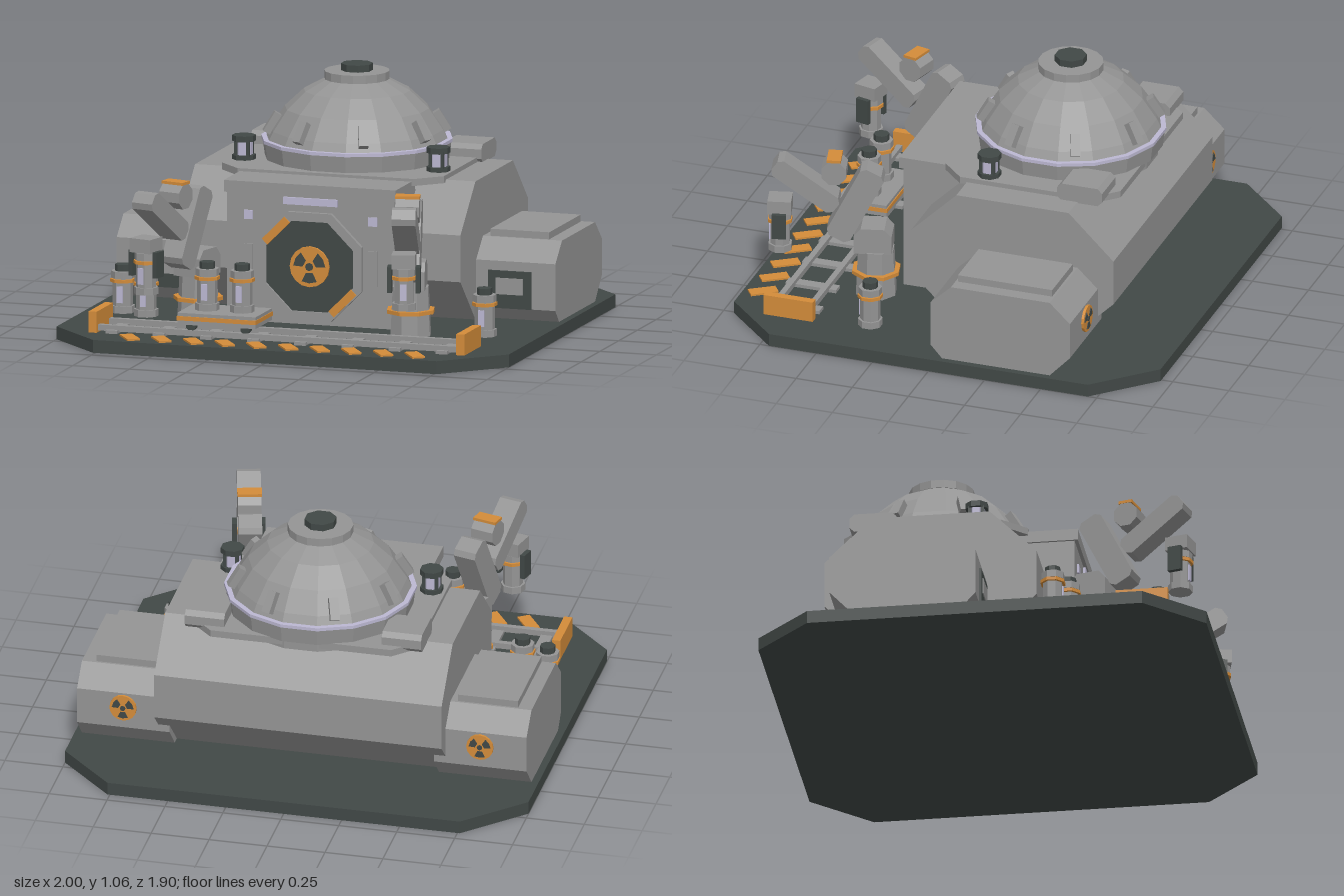
import * as THREE from 'three';

const mat = (name, color) => {
  const m = new THREE.MeshStandardMaterial({ color, flatShading: true });
  m.name = name;
  return m;
};

export function createModel() {
  const grey = mat('concrete grey', 0x949494);
  const dark = mat('dark slate', 0x414846);
  const orange = mat('safety orange', 0xd38c3a);
  const pale = mat('pale lavender', 0xbcb8d2);
  const root = new THREE.Group();

  const add = (parent, name, geo, m, x = 0, y = 0, z = 0) => {
    const mesh = new THREE.Mesh(geo, m);
    mesh.name = name;
    mesh.position.set(x, y, z);
    parent.add(mesh);
    return mesh;
  };
  const group = (parent, name, x = 0, y = 0, z = 0) => {
    const g = new THREE.Group();
    g.name = name;
    g.position.set(x, y, z);
    parent.add(g);
    return g;
  };
  const box = (w, h, d) => new THREE.BoxGeometry(w, h, d);
  // Upright prism with eight sides, flats facing the axes
  const cyl = (rt, rb, h, n = 8) => new THREE.CylinderGeometry(rt, rb, h, n).rotateY(Math.PI / n);
  const poly = pts => new THREE.Shape(pts.map(p => new THREE.Vector2(...p)));
  const extrude = (shape, depth) => new THREE.ExtrudeGeometry(shape, { depth, bevelEnabled: false, curveSegments: 6 });
  // Rectangle with cut corners
  const cut = (w, h, cx, cy = cx) => poly([
    [-w / 2 + cx, -h / 2], [w / 2 - cx, -h / 2], [w / 2, -h / 2 + cy], [w / 2, h / 2 - cy],
    [w / 2 - cx, h / 2], [-w / 2 + cx, h / 2], [-w / 2, h / 2 - cy], [-w / 2, -h / 2 + cy]]);
  const slab = (w, d, h, c) => extrude(cut(w, d, c), h).rotateX(-Math.PI / 2);
  // Outline given as [z, y], swept along x and centred
  const alongX = (pts, w) => extrude(poly(pts.map(([z, y]) => [-z, y])), w)
    .rotateY(Math.PI / 2).translate(-w / 2, 0, 0);

  add(root, 'base platform', slab(2, 1.9, 0.055, 0.24), dark);

  // Main hall and roof
  add(root, 'main hall', alongX([[0.21, 0.25], [0.21, 0.45], [0.01, 0.645], [-0.49, 0.645],
    [-0.69, 0.45], [-0.69, 0.25], [-0.49, 0.055], [0.01, 0.055]], 1.24), grey);
  add(root, 'roof plate', slab(0.98, 0.78, 0.03, 0.1), grey, 0, 0.635, -0.25);

  // Entrance block
  const entrance = group(root, 'entrance');
  add(entrance, 'entrance block', box(0.74, 0.55, 0.33), grey, 0, 0.33, 0.17);
  add(entrance, 'entrance roof', box(0.76, 0.05, 0.26), grey, 0, 0.628, 0.22);
  const frame = cut(0.46, 0.46, 0.135);
  frame.holes.push(new THREE.Path(cut(0.385, 0.385, 0.113).getPoints().reverse()));
  add(entrance, 'door frame', extrude(frame, 0.025), grey, 0, 0.305, 0.33);
  add(entrance, 'door', extrude(cut(0.39, 0.39, 0.114), 0.015), dark, 0, 0.305, 0.33);
  [1, -1].forEach(s => {
    const stripe = add(entrance, 'door frame stripe', box(0.14, 0.034, 0.008), orange, -s * 0.147, 0.305 + s * 0.147, 0.357);
    stripe.rotation.z = Math.PI / 4;
    add(entrance, 'small lamp', box(0.038, 0.038, 0.01), pale, s * 0.275, 0.51, 0.338);
    add(entrance, 'wall panel', box(0.04, 0.15, 0.01), grey, s * 0.275, 0.31, 0.338);
  });
  add(entrance, 'door lamp', box(0.24, 0.03, 0.012), pale, 0, 0.58, 0.34);

  // Round emblem with three dark vanes around a hub
  function fan(parent, x, y, z, r, back) {
    const g = group(parent, 'fan', x, y, z);
    if (back) g.rotation.y = Math.PI;
    const facing = (rad, d, n) => new THREE.CylinderGeometry(rad, rad, d, n).rotateX(Math.PI / 2);
    add(g, 'fan disc', facing(r, 0.012, 16), orange);
    add(g, 'fan hub', facing(r * 0.2, 0.006, 8), dark, 0, 0, 0.007);
    for (let i = 0; i < 3; i++) {
      const vane = extrude(poly([[0.3 * r, -0.17 * r], [0.72 * r, -0.38 * r], [0.8 * r, 0], [0.72 * r, 0.38 * r], [0.3 * r, 0.17 * r]]), 0.004);
      add(g, 'fan vane', vane, dark, 0, 0, 0.005).rotation.z = Math.PI / 6 + i * Math.PI * 2 / 3;
    }
  }
  fan(entrance, 0, 0.305, 0.35, 0.087);

  // Side wings, roof vents and roof lamps
  for (const s of [-1, 1]) {
    const wing = group(root, 'side wing', s * 0.77);
    add(wing, 'wing body', alongX([[0, 0.11], [0, 0.31], [-0.09, 0.395], [-0.53, 0.395],
      [-0.62, 0.31], [-0.62, 0.15], [-0.53, 0.055], [-0.05, 0.055]], 0.4), grey);
    add(wing, 'wing cap', box(0.26, 0.05, 0.42), grey, 0.01 * s, 0.4, -0.31);
    add(wing, 'wing hatch', box(0.19, 0.16, 0.014), dark, 0, 0.19, 0.003);
    add(wing, 'wing hatch window', box(0.12, 0.07, 0.006), grey, 0, 0.205, 0.011);
    fan(wing, 0, 0.245, -0.625, 0.058, true);

    add(root, 'roof vent', extrude(cut(0.2, 0.08, 0.02), 0.17).rotateY(Math.PI / 2), grey, s * 0.425 - 0.085, 0.68, -0.5);
    const lamp = group(root, 'roof lamp', s * 0.43, 0.655, -0.07);
    add(lamp, 'lamp foot', cyl(0.05, 0.05, 0.03), dark, 0, 0.015);
    add(lamp, 'lamp glass', cyl(0.037, 0.037, 0.07), pale, 0, 0.06);
    for (let i = 0; i < 4; i++) {
      const a = Math.PI / 4 + i * Math.PI / 2;
      add(lamp, 'lamp bar', box(0.014, 0.07, 0.014), dark, 0.038 * Math.cos(a), 0.06, 0.038 * Math.sin(a));
    }
    add(lamp, 'lamp cap', cyl(0.05, 0.05, 0.025), dark, 0, 0.1);
  }

  // Dome
  const dome = group(root, 'dome', 0, 0, -0.28);
  add(dome, 'dome footing', cyl(0.37, 0.37, 0.06, 16), grey, 0, 0.65);
  add(dome, 'dome drum', cyl(0.4, 0.39, 0.075, 16), grey, 0, 0.7);
  add(dome, 'dome light ring', cyl(0.405, 0.405, 0.014, 16), pale, 0, 0.742);
  const profile = [[0.385, 0.745], [0.365, 0.785], [0.305, 0.875], [0.225, 0.95], [0.13, 1.0], [0, 1.01]];
  add(dome, 'dome shell', new THREE.LatheGeometry(profile.map(p => new THREE.Vector2(...p)), 16).rotateY(Math.PI / 16), grey);
  add(dome, 'dome crown', cyl(0.138, 0.138, 0.035, 16), grey, 0, 1.015);
  add(dome, 'dome cap', cyl(0.068, 0.068, 0.032), dark, 0, 1.046);
  for (let i = 0; i < 8; i++) {
    const spoke = group(dome, 'dome bracket');
    spoke.rotation.y = Math.PI / 8 + i * Math.PI / 4;
    add(spoke, 'bracket', box(0.04, 0.095, 0.045), grey, 0, 0.81, 0.352).rotation.x = -0.55;
  }

  // Fuel canister standing on its own origin
  function canister(parent, x, y, z) {
    const g = group(parent, 'canister', x, y, z);
    add(g, 'canister body', cyl(0.043, 0.043, 0.17), grey, 0, 0.085);
    add(g, 'canister foot', cyl(0.052, 0.052, 0.03), grey, 0, 0.015);
    add(g, 'canister band', cyl(0.054, 0.054, 0.014), orange, 0, 0.137);
    add(g, 'canister shoulder', cyl(0.05, 0.05, 0.03), grey, 0, 0.162);
    add(g, 'canister cap', cyl(0.033, 0.033, 0.03), dark, 0, 0.19);
    add(g, 'canister gauge', box(0.026, 0.07, 0.008), pale, 0, 0.08, 0.042);
  }
  [[-0.84, 0.31], [-0.72, 0.36], [0.77, 0.34]].forEach(([x, z]) => canister(root, x, 0.055, z));

  // Rail track with end stops
  const track = group(root, 'rail track');
  for (const z of [0.615, 0.765]) add(track, 'rail', box(1.6, 0.025, 0.025), grey, 0, 0.075, z);
  for (let i = 0; i < 8; i++) add(track, 'sleeper', box(0.05, 0.015, 0.225), grey, -0.73 + i * 0.2086, 0.062, 0.685);
  for (const s of [-1, 1]) add(track, 'end stop', box(0.036, 0.09, 0.22), orange, s * 0.813, 0.1, 0.685);

  // Rail cart with two canisters
  const cart = group(root, 'rail cart', -0.265, 0, 0.685);
  add(cart, 'cart bed', box(0.345, 0.05, 0.22), grey, 0, 0.138);
  add(cart, 'cart stripe', box(0.35, 0.018, 0.228), orange, 0, 0.14);
  for (const x of [-0.12, 0.12]) for (const z of [-0.075, 0.075])
    add(cart, 'cart wheel', cyl(0.022, 0.022, 0.03).rotateX(Math.PI / 2), dark, x, 0.105, z);
  for (const x of [-0.077, 0.077]) canister(cart, x, 0.163, 0);

  // Warning stripes on the floor
  for (let i = 0; i < 10; i++)
    add(root, 'floor stripe', box(0.055, 0.008, 0.12), orange, -0.625 + i * 0.14, 0.059, 0.865).rotation.y = 0.6;

  // Loading arms holding canisters
  for (const s of [-1, 1]) {
    const arm = group(root, 'loading arm', s * 0.47, 0, 0.42);
    arm.rotation.y = s * 0.25;
    add(arm, 'arm pedestal', cyl(0.08, 0.09, 0.21), grey, 0, 0.16);
    add(arm, 'arm collar', cyl(0.106, 0.106, 0.016), orange, 0, 0.16);
    add(arm, 'arm shoulder', alongX([[0.09, 0.26], [0.09, 0.34], [0.06, 0.375], [-0.04, 0.375], [-0.07, 0.34], [-0.07, 0.26]], 0.13), grey);
    const beam = (name, w, t, len, y, z, a) => {
      const g = extrude(cut(t, len, 0.02), w).rotateY(Math.PI / 2).translate(-w / 2, 0, 0);
      add(arm, name, g, grey, 0, y, z).rotation.x = a;
    };
    beam('lower arm', 0.1, 0.11, 0.35, 0.475, 0.085, -0.47);
    beam('upper arm', 0.1, 0.085, 0.32, 0.555, 0.295, 0.95);
    add(arm, 'arm elbow', cyl(0.056, 0.056, 0.1).rotateZ(Math.PI / 2), grey, 0, 0.622, 0.175);
    add(arm, 'elbow stripe', box(0.104, 0.012, 0.06), orange, 0, 0.679, 0.175);
    // Gripper
    add(arm, 'gripper head', box(0.1, 0.06, 0.1), grey, 0, 0.45, 0.405);
    for (const k of [-1, 1]) add(arm, 'gripper claw', box(0.02, 0.11, 0.06), dark, k * 0.06, 0.37, 0.405);
    canister(arm, 0, 0.24, 0.405);
  }
  return root;
}
